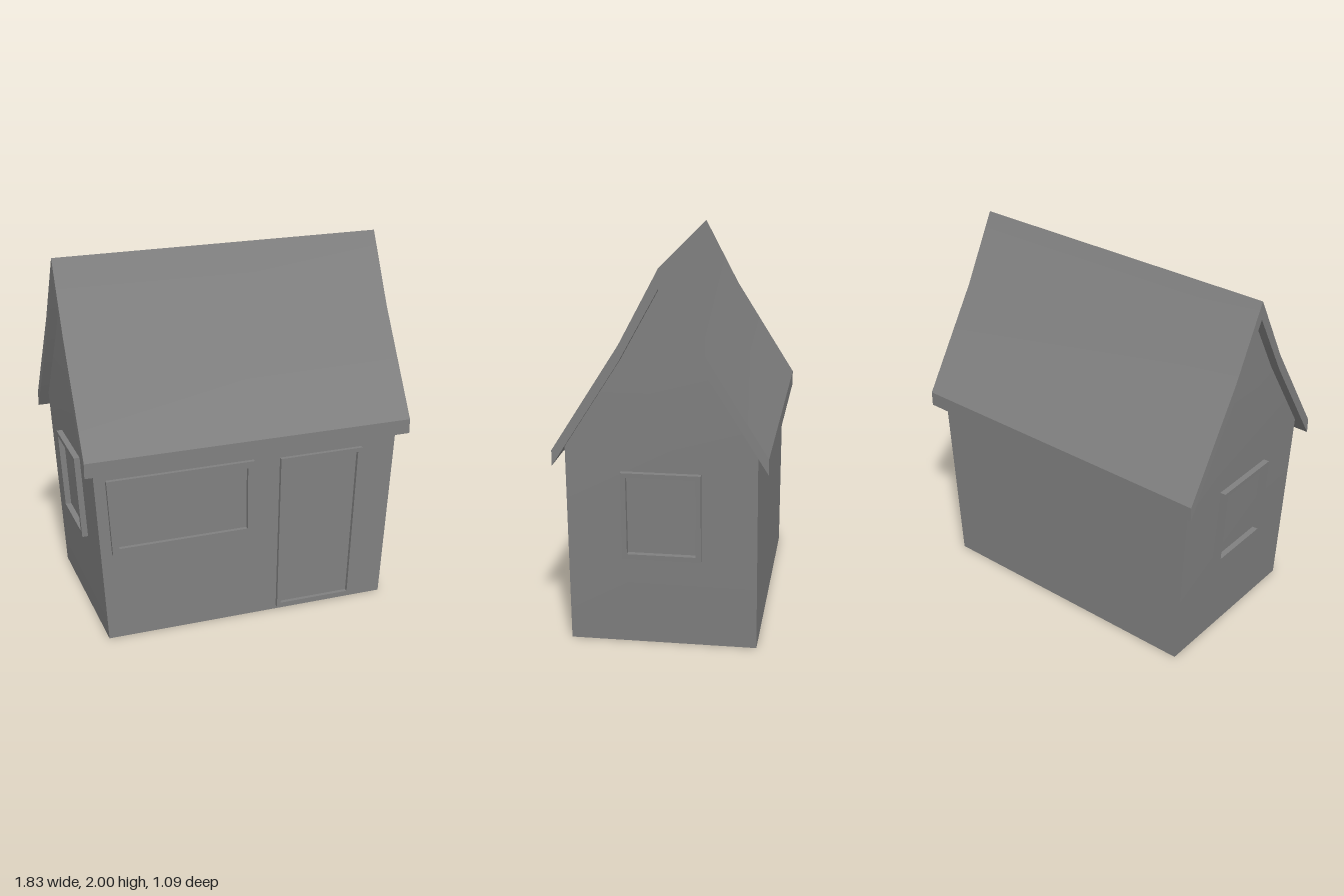
import * as THREE from 'three';
import { toCreasedNormals } from 'three/addons/utils/BufferGeometryUtils.js';

const material = new THREE.MeshStandardMaterial({ color: 0x808080 });
const LEAN = 0.06; // outward lean of the end walls per unit of height

// Gentle bends shade smoothly, real corners stay sharp
function addMesh(parent, name, geometry) {
  const mesh = new THREE.Mesh(toCreasedNormals(geometry, Math.PI / 6), material);
  mesh.name = name;
  parent.add(mesh);
  return mesh;
}

const toVectors = (points) => points.map(([x, y]) => new THREE.Vector2(x, y));

// Extruded outline with an optional opening, starting at z = 0
function extrude(outline, opening, depth) {
  const shape = new THREE.Shape(toVectors(outline));
  if (opening) shape.holes.push(new THREE.Path(toVectors(opening)));
  return new THREE.ExtrudeGeometry(shape, { depth, bevelEnabled: false });
}

// Walls: rectangular rings from the floor up to the ridge
function wallGeometry() {
  const levels = [[0, 0.8, 0.49], [1.08, 0.865, 0.49], [1.535, 0.865, 0.2], [1.9, 0.865, 0]];
  const positions = [];
  const indices = [];
  for (const [y, x, z] of levels) {
    positions.push(-x, y, z, x, y, z, x, y, -z, -x, y, -z);
  }
  const quad = (a, b, c, d) => indices.push(a, b, c, a, c, d);
  for (let i = 0; i < levels.length - 1; i++) {
    for (let s = 0; s < 4; s++) {
      if (i > 0 && s % 2 === 0) continue; // above the eaves the roof closes front and back
      const a = i * 4 + s;
      const b = i * 4 + (s + 1) % 4;
      if (i === levels.length - 2) indices.push(a, b, b + 4); // gable tip
      else quad(a, b, b + 4, a + 4);
    }
  }
  quad(3, 2, 1, 0); // floor
  const geometry = new THREE.BufferGeometry();
  geometry.setAttribute('position', new THREE.Float32BufferAttribute(positions, 3));
  geometry.setIndex(indices);
  return geometry;
}

// Roof: kinked gable section extruded along x
function roofGeometry() {
  const outer = [[-0.547, 0.988], [-0.547, 1.07], [-0.2, 1.62], [0, 2], [0.2, 1.62], [0.547, 1.07], [0.547, 0.988]];
  const inner = [[0.2, 1.535], [0, 1.9], [-0.2, 1.535]];
  const geometry = extrude([...outer, ...inner], null, 1.83);
  geometry.translate(0, 0, -0.915);
  geometry.rotateY(Math.PI / 2);
  return geometry;
}

// End window frame, sheared to follow the leaning wall
function sideFrameGeometry(side) {
  const rect = (w, y0, y1) => [[-w, y0], [w, y0], [w, y1], [-w, y1]];
  const geometry = extrude(rect(0.205, 0.486, 0.957), rect(0.178, 0.512, 0.932), 0.032);
  geometry.rotateY(side * Math.PI / 2);
  const p = geometry.attributes.position;
  for (let i = 0; i < p.count; i++) {
    p.setX(i, p.getX(i) + side * (0.8 + LEAN * p.getY(i)));
  }
  return geometry;
}

export function createModel() {
  const house = new THREE.Group();
  house.name = 'house';

  addMesh(house, 'walls', wallGeometry());
  addMesh(house, 'roof', roofGeometry());

  // Front window and door frames, skewed with the house
  addMesh(house, 'frontWindowFrame', extrude(
    [[-0.77, 0.506], [0.023, 0.506], [0.023, 0.936], [-0.795, 0.936]],
    [[-0.735, 0.542], [-0.015, 0.542], [-0.015, 0.899], [-0.755, 0.899]],
    0.022,
  )).position.z = 0.49;
  addMesh(house, 'doorFrame', extrude(
    [[0.165, 0.021], [0.614, 0.021], [0.655, 0.925], [0.175, 0.925]],
    [[0.187, 0.043], [0.592, 0.043], [0.628, 0.902], [0.197, 0.902]],
    0.022,
  )).position.z = 0.49;

  addMesh(house, 'leftWindowFrame', sideFrameGeometry(1));
  addMesh(house, 'rightWindowFrame', sideFrameGeometry(-1));

  return house;
}
